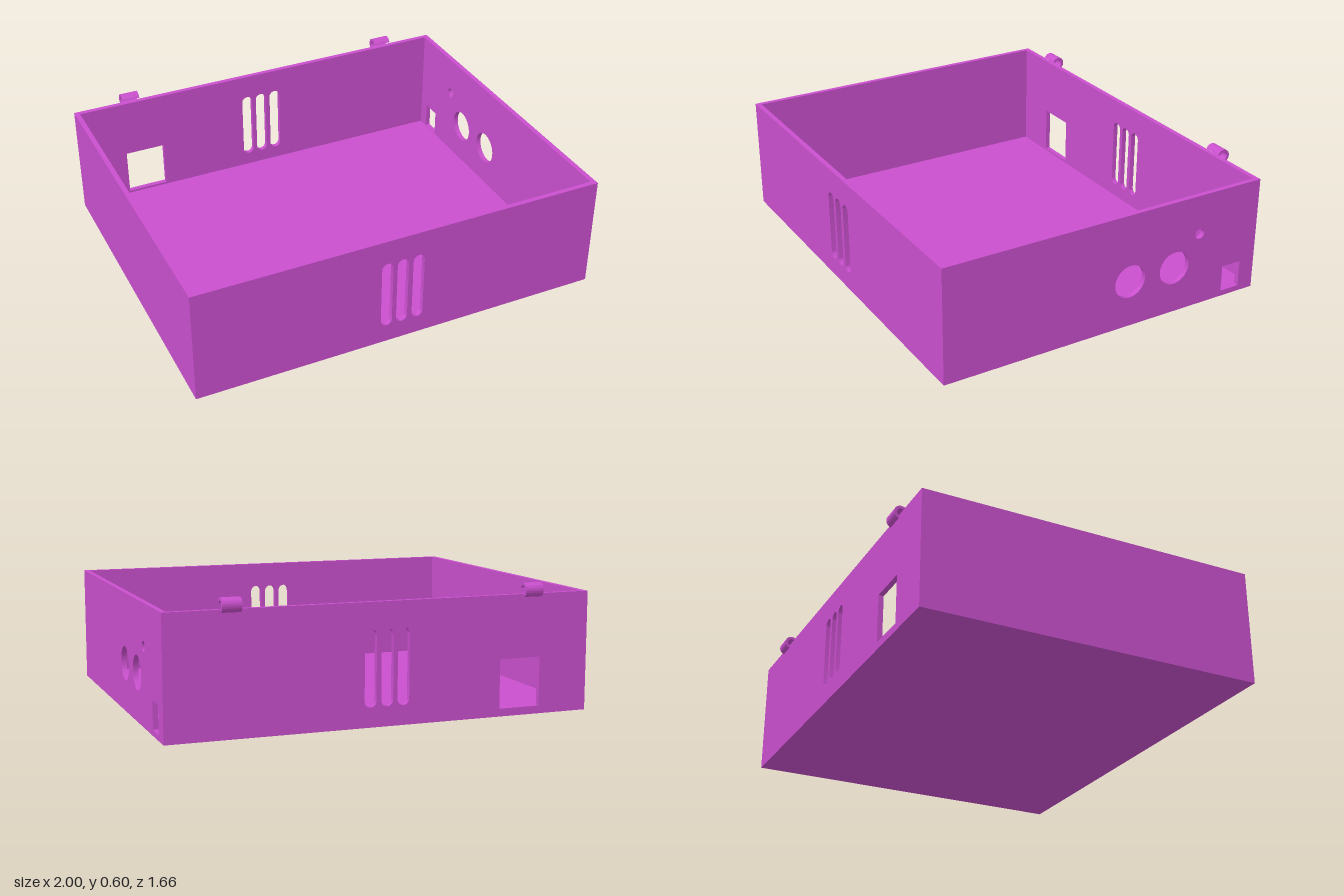
import * as THREE from 'three';
import { toCreasedNormals } from 'three/addons/utils/BufferGeometryUtils.js';

const H = 0.555, T = 0.024;          // height and wall thickness
const FRONT = 0.83, BACK = -0.808;   // outer z faces

const rectPath = (P, x0, x1, y0, y1) => {
  const p = new P();
  p.moveTo(x0, y0);
  p.lineTo(x1, y0);
  p.lineTo(x1, y1);
  p.lineTo(x0, y1);
  p.closePath();
  return p;
};

const circlePath = (x, y, r) => new THREE.Path().absarc(x, y, r, 0, Math.PI * 2, true);

// vertical slot with rounded ends
const slotPath = (x, y0, y1, r) => {
  const p = new THREE.Path();
  p.absarc(x, y1 - r, r, 0, Math.PI, false);
  p.absarc(x, y0 + r, r, Math.PI, Math.PI * 2, false);
  p.closePath();
  return p;
};

const extrude = (shape, depth) => toCreasedNormals(
  new THREE.ExtrudeGeometry(shape, { depth, bevelEnabled: false, curveSegments: 20 }), 0.5);

const wallGeometry = (x0, x1, y0, holes) => {
  const shape = rectPath(THREE.Shape, x0, x1, y0, H);
  shape.holes.push(...holes);
  return extrude(shape, T);
};

export function createModel() {
  const group = new THREE.Group();
  const magenta = new THREE.MeshStandardMaterial({ color: 0xc94fcd });
  magenta.name = 'magenta plastic';

  const add = (name, geometry, x, y, z, turn = 0) => {
    const mesh = new THREE.Mesh(geometry, magenta);
    mesh.name = name;
    mesh.position.set(x, y, z);
    mesh.rotation.y = turn;
    group.add(mesh);
  };
  const vents = () => [-0.082, -0.005, 0.074].map(x => slotPath(x, 0.09, 0.435, 0.028));

  // floor, flush with the outside of the walls
  add('floor', new THREE.BoxGeometry(2, T, FRONT - BACK), 0, T / 2, (FRONT + BACK) / 2);

  // vented front and back walls; the back also has a square port
  add('frontWall', wallGeometry(-1, 1, T, vents()), 0, 0, FRONT - T);
  add('backWall', wallGeometry(-1, 1, T,
    [...vents(), rectPath(THREE.Path, -0.758, -0.557, 0.036, 0.264)]), 0, 0, BACK);

  // side walls drawn in (-z, y) and turned to face x
  const quarter = Math.PI / 2;
  const u0 = -FRONT + T, u1 = -BACK - T;
  add('leftWall', wallGeometry(u0, u1, T, [
    circlePath(0.105, 0.225, 0.08),
    circlePath(0.346, 0.225, 0.08),
    circlePath(0.478, 0.363, 0.025),
    rectPath(THREE.Path, 0.626, 0.727, 0.027, 0.156),
  ]), 1 - T, 0, 0, quarter);
  add('rightWall', wallGeometry(u0, u1, T, []), -1, 0, 0, quarter);

  // open hinge hooks on the back rim
  const hook = new THREE.Shape();
  const start = -1.35, end = 2.75;
  hook.absarc(0.797, 0.572, 0.033, start, end, false);
  hook.absarc(0.797, 0.572, 0.02, end, start, true);
  hook.closePath();
  const hookGeometry = extrude(hook, 0.088);
  for (const x of [-0.758, 0.66]) add('hingeHook', hookGeometry, x, 0, 0, quarter);

  return group;
}
